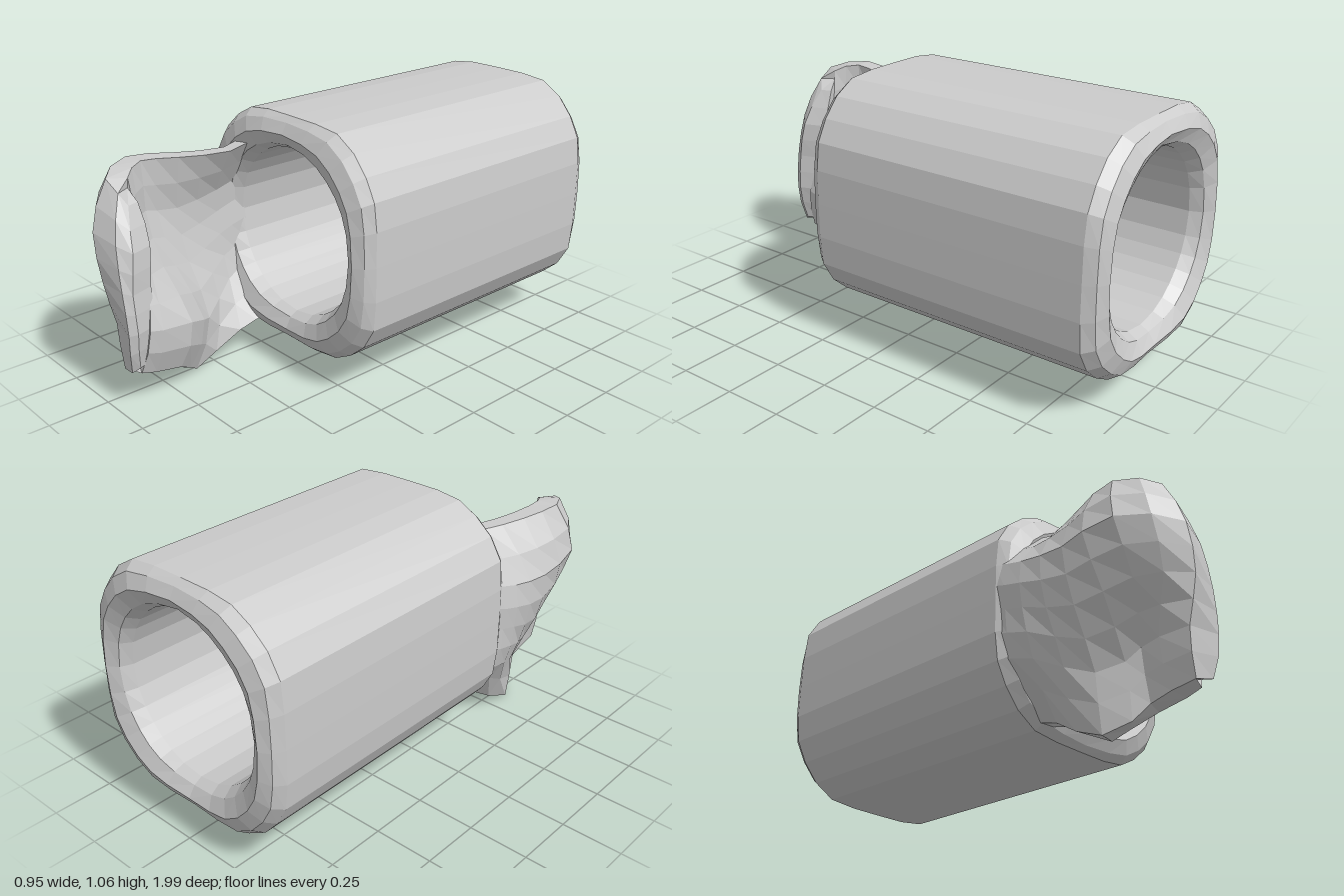
import * as THREE from 'three';

// Skin a list of rings (equal point counts); optionally join last to first or cap both ends.
function loft(rings, { loop = false, caps = false } = {}) {
  const n = rings[0].length, m = rings.length;
  const pos = rings.flat().flat();
  const index = [];
  for (let i = 0; i < (loop ? m : m - 1); i++) {
    const a = i * n, b = ((i + 1) % m) * n;
    for (let j = 0; j < n; j++) {
      const k = (j + 1) % n;
      index.push(a + j, a + k, b + k, a + j, b + k, b + j);
    }
  }
  if (caps) {
    // each cap is a strip between the outer and inner halves of the ring
    const last = (m - 1) * n;
    for (let j = 0; j < n / 2 - 1; j++) {
      const p = j, q = j + 1, r = n - 2 - j, s = n - 1 - j;
      index.push(p, r, q, p, s, r);
      index.push(last + p, last + q, last + r, last + p, last + r, last + s);
    }
  }
  const geo = new THREE.BufferGeometry();
  geo.setAttribute('position', new THREE.Float32BufferAttribute(pos, 3));
  geo.setIndex(index);
  const flat = geo.toNonIndexed();
  flat.computeVertexNormals();
  return flat;
}

// Rounded square outline, counter-clockwise, seven points per quarter.
function squareOutline() {
  const quarter = [
    [0.475, 0], [0.474, 0.14], [0.46, 0.25], [0.415, 0.335], [0.35, 0.41], [0.26, 0.463], [0.14, 0.474],
  ];
  const pts = [];
  for (let q = 0; q < 4; q++) {
    const c = [1, 0, -1, 0][q], s = [0, 1, 0, -1][q];
    for (const [x, y] of quarter) pts.push([x * c - y * s, x * s + y * c]);
  }
  return pts;
}

// Hollow sleeve: square outside, round bore, softly bevelled ends.
function sleeveGeometry() {
  const cy = 0.587, bore = 0.346;
  const outline = squareOutline();
  // [blend from outline (0) to bore (1), z]
  const profile = [
    [0, -0.93], [0, 0.26], [0.17, 0.3], [0.5, 0.325], [0.85, 0.3], [1, 0.25],
    [1, -0.92], [0.85, -0.97], [0.5, -1], [0.17, -0.975],
  ];
  const rings = profile.map(([k, z]) => outline.map(([x, y]) => {
    const f = bore / Math.hypot(x, y);
    const s = 1 - k + k * f;
    // end faces dip slightly at the middle of each side
    const dip = k > 0 && k < 1 ? 0.015 * Math.max(0, 1 - Math.abs(x) / 0.3) : 0;
    return [x * s, cy + y * s, z - Math.sign(z) * dip];
  }));
  return loft(rings, { loop: true });
}

// Twisted wall growing out of the sleeve: its lower half swings inward into a thick lobe.
function flapGeometry() {
  const bottom = [0.16, 0.118, 0, 0.1, 0.14, 0.18];
  const top = [0.94, 0.895, 0.9, 0.915, 0.885, 0.8];
  // plan centre line [x, z] from root to free end, at evenly spaced heights
  const plans = [
    [[-0.22, 0.24], [-0.24, 0.38], [-0.27, 0.6], [-0.18, 0.74], [-0.175, 0.92], [-0.12, 0.9]],
    [[-0.38, 0.24], [-0.365, 0.38], [-0.27, 0.57], [-0.17, 0.72], [-0.165, 0.91], [-0.1, 0.89]],
    [[-0.4, 0.24], [-0.405, 0.38], [-0.365, 0.58], [-0.29, 0.77], [-0.195, 0.915], [-0.115, 0.89]],
    [[-0.4, 0.24], [-0.405, 0.38], [-0.405, 0.58], [-0.385, 0.77], [-0.25, 0.91], [-0.13, 0.87]],
    [[-0.25, 0.24], [-0.26, 0.38], [-0.32, 0.58], [-0.35, 0.75], [-0.27, 0.87], [-0.2, 0.85]],
  ];
  const thick = [0.06, 0.062, 0.07, 0.085, 0.08, 0.05];
  const rows = 9, columns = 11;
  const curve = (pts) => new THREE.CatmullRomCurve3(pts, false, 'catmullrom', 0.5);
  // vertical curve through each station
  const stations = bottom.map((y0, s) => curve(plans.map((p, i) =>
    new THREE.Vector3(p[s][0], y0 + (top[s] - y0) * i / 4, p[s][1]))));
  const halves = curve(thick.map((h) => new THREE.Vector3(h, 0, 0)));
  const levels = Array.from({ length: rows }, (_, r) =>
    curve(stations.map((c) => c.getPoint(r / (rows - 1)))));

  const rings = [];
  for (let i = 0; i < columns; i++) {
    const u = i / (columns - 1);
    const side = (r, sign) => {
      const p = levels[r].getPoint(u), t = levels[r].getTangent(u);
      const len = Math.hypot(t.x, t.z);
      const edge = 1 - 0.5 * Math.abs(2 * r / (rows - 1) - 1) ** 4;
      const d = sign * halves.getPoint(u).x * edge / len;
      return [p.x - t.z * d, p.y, p.z + t.x * d];
    };
    const ring = [];
    for (let r = rows - 1; r >= 0; r--) ring.push(side(r, 1));
    for (let r = 0; r < rows; r++) ring.push(side(r, -1));
    rings.push(ring);
  }
  return loft(rings, { caps: true });
}

export function createModel() {
  const group = new THREE.Group();
  group.name = 'sleeveWithFlap';
  const material = new THREE.MeshStandardMaterial({
    color: 0xcccccc, flatShading: true, side: THREE.DoubleSide,
  });
  const add = (name, geometry) => {
    const mesh = new THREE.Mesh(geometry, material);
    mesh.name = name;
    group.add(mesh);
  };
  add('sleeve', sleeveGeometry());
  add('curledFlap', flapGeometry());
  return group;
}
